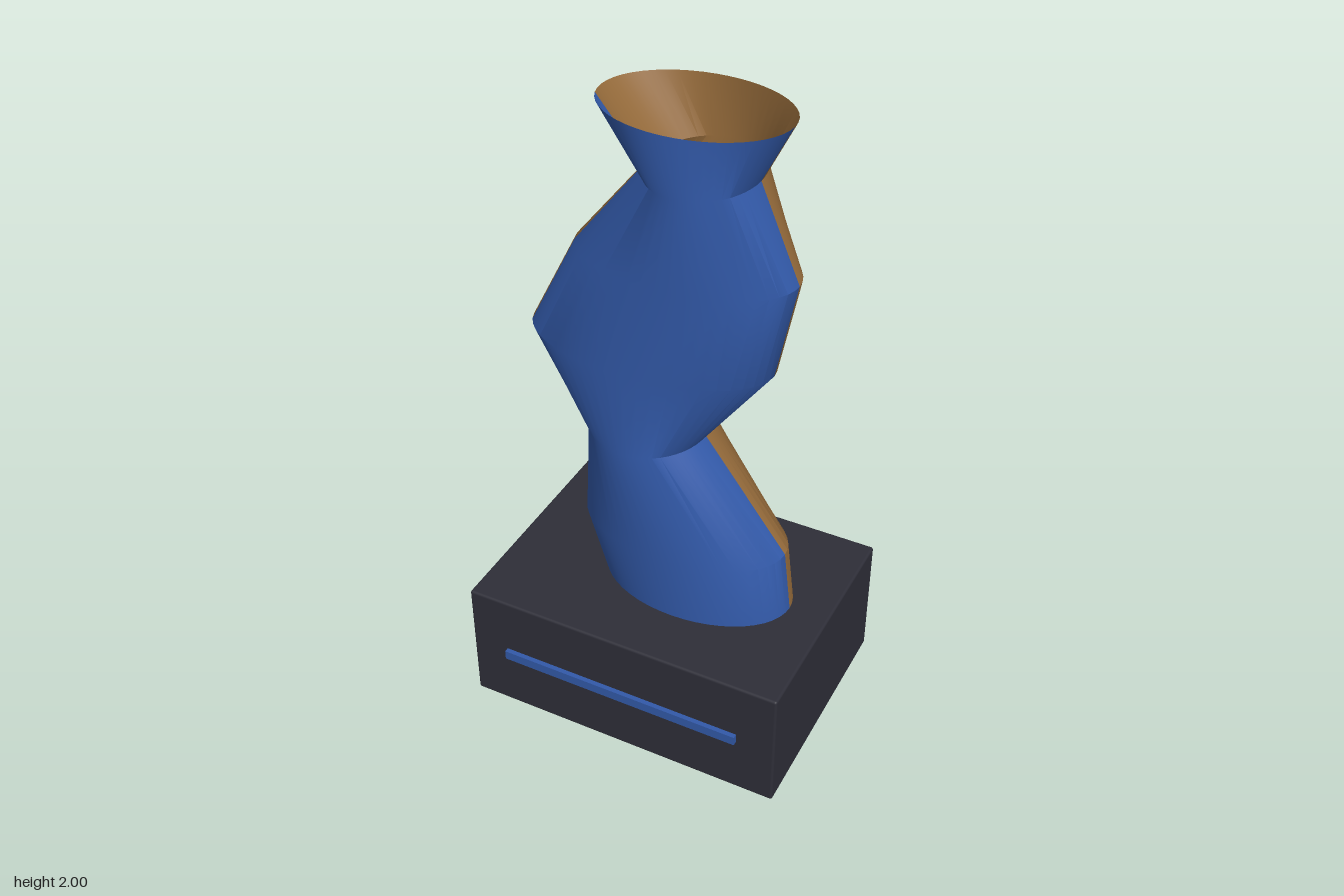
import * as THREE from 'three';
import { toCreasedNormals } from 'three/addons/utils/BufferGeometryUtils.js';
import { RoundedBoxGeometry } from 'three/addons/geometries/RoundedBoxGeometry.js';

const blue = new THREE.MeshStandardMaterial({ color: 0x3259a8, side: THREE.DoubleSide });
blue.name = 'blue';
const bronze = new THREE.MeshStandardMaterial({ color: 0x946a3a, side: THREE.DoubleSide });
bronze.name = 'bronze';
const charcoal = new THREE.MeshStandardMaterial({ color: 0x2e2e38 });
charcoal.name = 'charcoal';

// Elliptical rings of the twisting body: height, left edge, right edge
const RINGS = [
  [0.41, -0.22, 0.39],
  [0.62, -0.29, 0.365],
  [0.97, -0.26, 0.1],
  [1.245, -0.45, 0.305],
  [1.55, -0.295, 0.365],
  [1.83, -0.07, 0.245],
  [2.0, -0.215, 0.33],
];
const SEGMENTS = 48;
const FRONT_SEGMENTS = 22; // the front colour stops just short of half way round
const DEPTH = 0.192;
const CENTRE_Z = -0.007;

function bodyGeometry() {
  const positions = [];
  const index = [];
  const rows = RINGS.length;
  for (let i = 0; i < SEGMENTS; i++) {
    const a = (i / SEGMENTS) * Math.PI * 2;
    for (const [y, x0, x1] of RINGS) {
      positions.push(
        (x0 + x1) / 2 + ((x1 - x0) / 2) * Math.cos(a),
        y,
        CENTRE_Z + DEPTH * Math.sin(a)
      );
    }
  }
  for (let i = 0; i < SEGMENTS; i++) {
    const next = (i + 1) % SEGMENTS;
    for (let j = 0; j < rows - 1; j++) {
      const p = i * rows + j;
      const q = next * rows + j;
      index.push(p, p + 1, q + 1, p, q + 1, q);
    }
  }
  const geometry = new THREE.BufferGeometry();
  geometry.setAttribute('position', new THREE.Float32BufferAttribute(positions, 3));
  geometry.setIndex(index);
  const perSegment = (rows - 1) * 6;
  geometry.addGroup(0, FRONT_SEGMENTS * perSegment, 0);
  geometry.addGroup(FRONT_SEGMENTS * perSegment, (SEGMENTS - FRONT_SEGMENTS) * perSegment, 1);
  return toCreasedNormals(geometry, Math.PI / 6);
}

export function createModel() {
  const group = new THREE.Group();
  group.name = 'sculpture';

  // Hollow body, blue at the front and bronze at the back
  const body = new THREE.Mesh(bodyGeometry(), [blue, bronze]);
  body.name = 'body';
  group.add(body);

  // Plinth with slightly softened edges
  const plinth = new THREE.Mesh(new RoundedBoxGeometry(1.03, 0.415, 0.755, 2, 0.008), charcoal);
  plinth.name = 'plinth';
  plinth.position.set(0, 0.2075, -0.0075);
  group.add(plinth);

  // Raised strip across the front of the plinth
  const strip = new THREE.Mesh(new THREE.BoxGeometry(0.785, 0.031, 0.03), blue);
  strip.name = 'frontStrip';
  strip.position.set(0, 0.21, 0.37);
  group.add(strip);

  return group;
}
